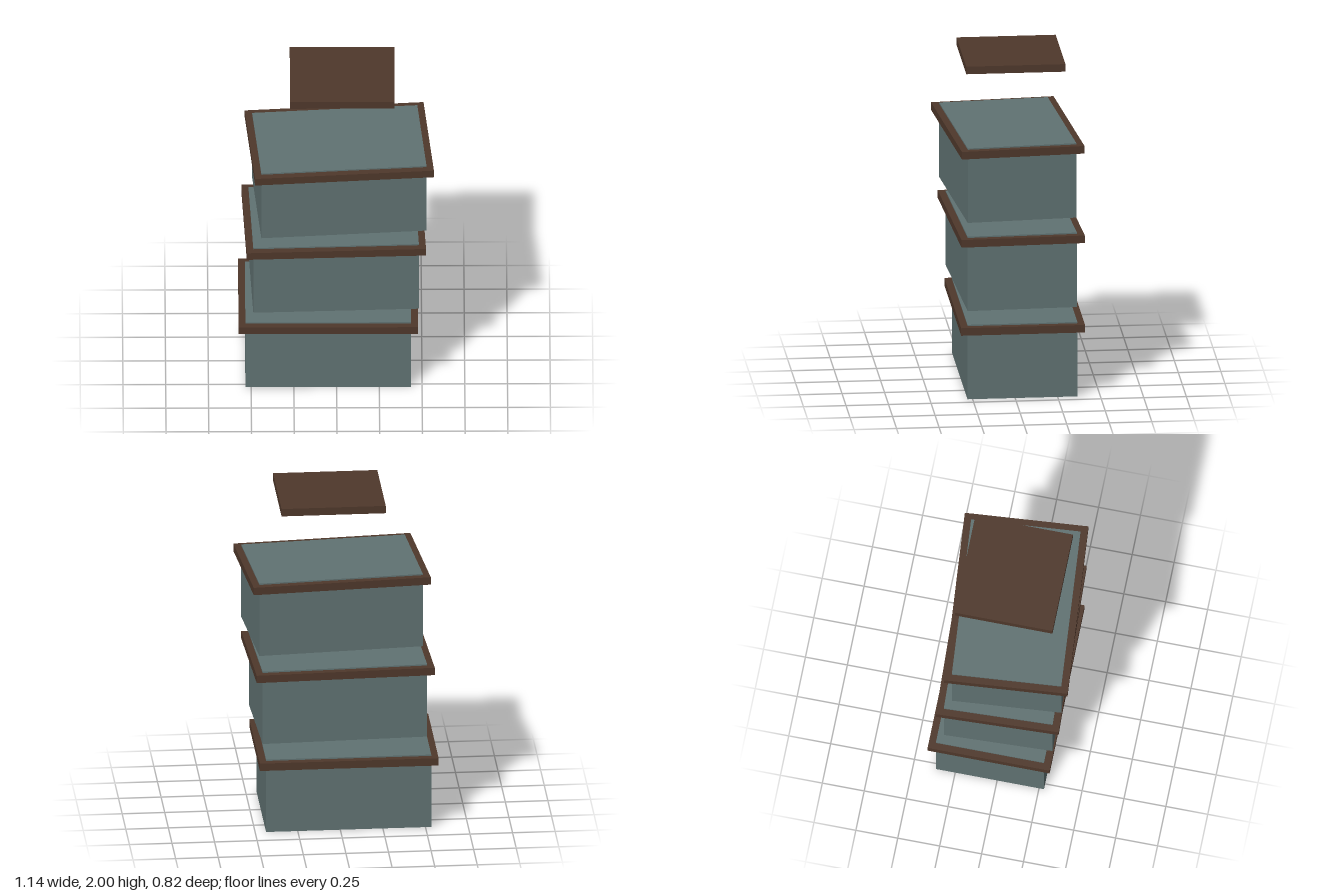
import * as THREE from 'three';

const BODY = new THREE.MeshStandardMaterial({ color: 0x607272 });
const WOOD = new THREE.MeshStandardMaterial({ color: 0x4f382b });

// Box whose underside rests at the given height
function slab(name, w, h, d, bottom, material) {
  const mesh = new THREE.Mesh(new THREE.BoxGeometry(w, h, d), material);
  mesh.name = name;
  mesh.position.y = bottom + h / 2;
  return mesh;
}

export function createModel() {
  const model = new THREE.Group();
  model.name = 'stackedTower';

  // Three storeys, each shifted and twisted a little more than the one below
  for (let i = 0; i < 3; i++) {
    const storey = new THREE.Group();
    storey.name = `storey${i + 1}`;
    storey.add(slab('body', 0.97, 0.454, 0.645, 0, BODY));
    // Rim just below the top, with the body showing through it
    storey.add(slab('rim', 1.05, 0.046, 0.728, 0.4, WOOD));
    storey.position.set(-0.049 + 0.033 * i, 0.551 * i, -0.043 + 0.0235 * i);
    storey.rotation.y = 0.04 * i;
    model.add(storey);
  }

  // Flat cap floating above the stack
  const cap = slab('cap', 0.612, 0.046, 0.583, 1.954, WOOD);
  cap.position.x = 0.034;
  cap.position.z = -0.0135;
  model.add(cap);

  return model;
}
